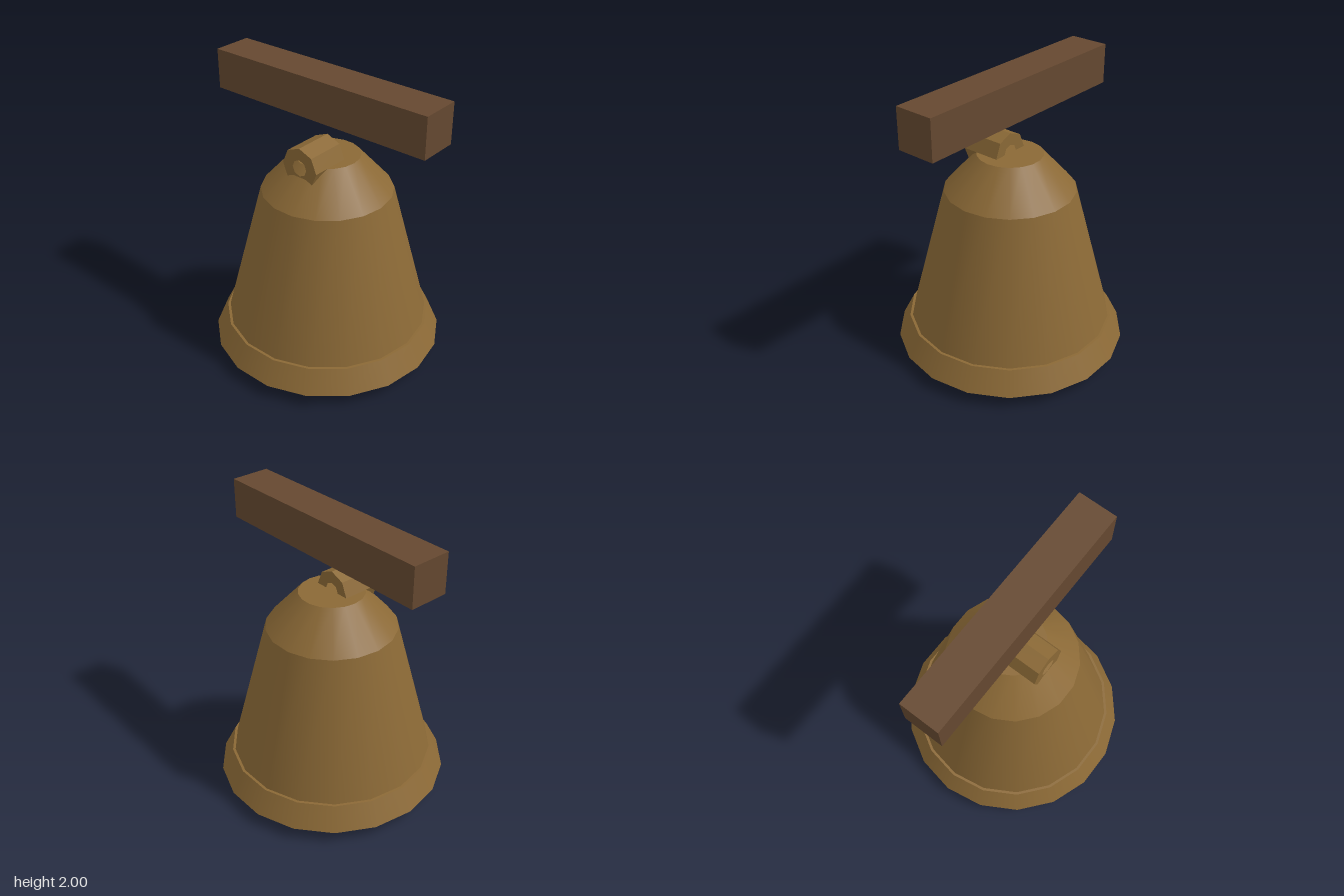
import * as THREE from 'three';

const SIDES = 18;
const bronze = new THREE.MeshStandardMaterial({ color: 0x8b6936 });
const wood = new THREE.MeshStandardMaterial({ color: 0x654830 });
const iron = new THREE.MeshStandardMaterial({ color: 0x2a2a2a });

function addMesh(group, name, geometry, material, x = 0, y = 0, z = 0) {
  const mesh = new THREE.Mesh(geometry, material);
  mesh.name = name;
  mesh.position.set(x, y, z);
  group.add(mesh);
  return mesh;
}

// Tapered section of the bell, turned so that corners lie on the x axis
function addSection(group, name, rBottom, rTop, y0, y1) {
  const geometry = new THREE.CylinderGeometry(rTop, rBottom, y1 - y0, SIDES);
  geometry.rotateY(Math.PI / SIDES);
  return addMesh(group, name, geometry, bronze, 0, (y0 + y1) / 2, 0);
}

// Regular polygon with a corner at the top
function polygon(radius, sides) {
  return Array.from({ length: sides }, (_, i) => {
    const a = (i / sides) * Math.PI * 2;
    return new THREE.Vector2(Math.sin(a) * radius, Math.cos(a) * radius);
  });
}

export function createModel() {
  const model = new THREE.Group();
  model.name = 'hangingBell';

  // Bell: flared lip, tapered body and steep shoulder
  const bell = new THREE.Group();
  bell.name = 'bell';
  model.add(bell);
  addSection(bell, 'lip', 0.795, 0.713, 0.09, 0.25);
  addSection(bell, 'body', 0.695, 0.44, 0.25, 1.21);
  addSection(bell, 'shoulder', 0.44, 0.22, 1.21, 1.455);

  // Octagonal hanging loop, set forward on the crown
  const ring = new THREE.Shape(polygon(0.137, 8));
  ring.holes.push(new THREE.Path(polygon(0.056, 8)));
  const loop = new THREE.ExtrudeGeometry(ring, { depth: 0.273, bevelEnabled: false });
  addMesh(bell, 'hangingLoop', loop, bronze, 0, 1.455, 0);

  // Clapper tip showing below the lip
  addMesh(model, 'clapper', new THREE.SphereGeometry(0.13, 6, 4), iron, 0, 0.135, 0);

  // Support beam above the bell
  addMesh(model, 'beam', new THREE.BoxGeometry(1.645, 0.27, 0.27), wood, 0, 1.865, 0);

  return model;
}
